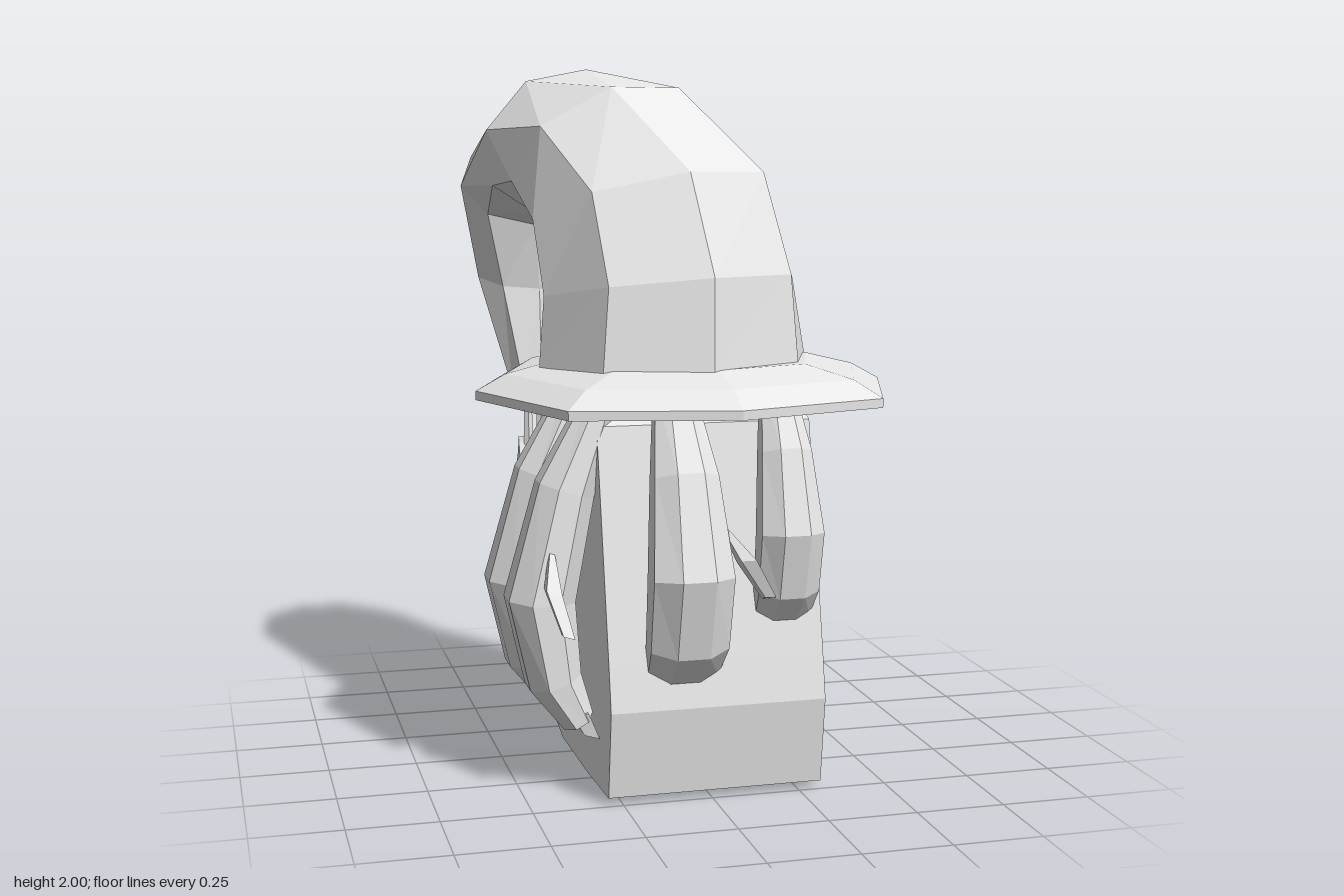
import * as THREE from 'three';

const V = (x, y, z) => new THREE.Vector3(x, y, z);
const stone = new THREE.MeshStandardMaterial({ color: 0xe7e7e7 });
stone.name = 'pale grey';

function add(parent, name, geometry) {
  const g = geometry.index ? geometry.toNonIndexed() : geometry;
  g.computeVertexNormals();
  const mesh = new THREE.Mesh(g, stone);
  mesh.name = name;
  parent.add(mesh);
}

// Skin a list of equal-sized rings and close both ends, facing outwards
function loft(rings) {
  const n = rings[0].length, last = rings.length - 1, tris = [];
  for (let r = 0; r < last; r++) {
    for (let i = 0; i < n; i++) {
      const j = (i + 1) % n;
      const [a, b, c, d] = [rings[r][i], rings[r][j], rings[r + 1][j], rings[r + 1][i]];
      tris.push([a, b, c], [a, c, d]);
    }
  }
  for (let i = 1; i < n - 1; i++) {
    tris.push([rings[0][0], rings[0][i + 1], rings[0][i]]);
    tris.push([rings[last][0], rings[last][i], rings[last][i + 1]]);
  }
  const volume = tris.reduce((s, [a, b, c]) => s + a.dot(b.clone().cross(c)), 0);
  if (volume < 0) tris.forEach(t => t.reverse());
  return new THREE.BufferGeometry().setFromPoints(tris.flat());
}

// Ring with half axes u and v around a centre
function ring(centre, u, v, sides, turn = 0) {
  return Array.from({ length: sides }, (_, i) => {
    const a = turn + i / sides * Math.PI * 2;
    return centre.clone().addScaledVector(u, Math.cos(a)).addScaledVector(v, Math.sin(a));
  });
}

// Tapered spike through points [x, y, z, radius]
function spike(points) {
  return loft(points.map(([x, y, z, r]) => ring(V(x, y, z), V(r, 0, 0), V(0, r * 0.3, r), 4, Math.PI / 4)));
}

// Outline of [z, y] points extruded along x
function extrudeX(points, x0, x1) {
  const shape = new THREE.Shape(points.map(([z, y]) => new THREE.Vector2(-z, y)));
  const g = new THREE.ExtrudeGeometry(shape, { depth: x1 - x0, bevelEnabled: false });
  return g.rotateY(Math.PI / 2).translate(x0, 0, 0);
}

// Drooping arm bulging along local +z, ending in three stubby fingers
function addArm(parent, name, { x, z, angle, top, bottom, bulge, width, depth, thumb }) {
  const arm = new THREE.Group();
  arm.name = name;
  arm.position.set(x, 0, z);
  arm.rotation.y = angle;
  const stations = [
    [0, 0, 0.5, 0.45], [0.28, 0.6, 0.8, 0.85], [0.6, 1, 1, 1], [0.84, 0.8, 0.98, 0.8], [0.96, 0.45, 0.9, 0.5],
  ];
  const centres = stations.map(([t, o]) => V(0, top + (bottom - top) * t, bulge * o));
  const rings = stations.map(([, , w, d], i) => {
    const dir = centres[Math.min(i + 1, 4)].clone().sub(centres[Math.max(i - 1, 0)]).normalize();
    const out = V(0, dir.z, -dir.y).multiplyScalar(depth * d);
    return ring(centres[i], out, V(width * w, 0, 0), 8, Math.PI / 8);
  });
  add(arm, 'sleeve', loft(rings));
  const end = centres[4];
  for (const s of [-1, 0, 1]) {
    add(arm, 'finger', spike([
      [s * width * 0.55, end.y + 0.04, end.z + 0.01, width * 0.36],
      [s * width * 0.52, bottom, end.z - 0.03, width * 0.26],
    ]));
  }
  if (thumb) {
    const y = top + (bottom - top) * 0.48, w = width * thumb;
    add(arm, 'thumb', spike([
      [w * 0.8, y + 0.03, bulge * 0.9, 0.01],
      [w * 1.3, y - 0.06, bulge * 0.95, 0.03],
      [w * 1.9, y - 0.17, bulge * 0.8, 0.022],
    ]));
  }
  parent.add(arm);
}

export function createModel() {
  const model = new THREE.Group();
  model.name = 'hatted figure';

  // Slab body with a kicked-up tail at the back
  add(model, 'body', extrudeX([
    [0.49, 0.02], [0.22, 0.005], [-0.14, 0], [-0.29, 0.04], [-0.38, 0.125], [-0.375, 0.145], [-0.29, 0.14],
    [-0.2, 0.24], [-0.15, 0.33], [-0.05, 1.01], [0.14, 1.1], [0.36, 1.02], [0.5, 0.39], [0.525, 0.265],
  ], -0.29, 0.315));

  // Small hooks on the flat side
  for (const [z, s] of [[0.26, 1], [0, -1]]) {
    add(model, 'sideHook', extrudeX([
      [z + s * 0.045, 0.58], [z + s * 0.035, 0.52], [z, 0.48], [z - s * 0.04, 0.48],
      [z - s * 0.035, 0.51], [z + s * 0.005, 0.54],
    ], 0.29, 0.335));
  }

  // Arms around the body
  const H = Math.PI / 2;
  addArm(model, 'frontArm', { x: -0.08, z: 0.38, angle: 0, top: 1.11, bottom: 0.32, bulge: 0.19, width: 0.12, depth: 0.1, thumb: 1 });
  addArm(model, 'frontLeftArm', { x: 0.21, z: 0.38, angle: 0, top: 1.13, bottom: 0.47, bulge: 0.14, width: 0.095, depth: 0.08, thumb: 0 });
  addArm(model, 'frontRightArm', { x: -0.26, z: 0.3, angle: -H, top: 1.11, bottom: 0.16, bulge: 0.18, width: 0.115, depth: 0.1, thumb: 1 });
  addArm(model, 'rightArm', { x: -0.26, z: 0, angle: -H, top: 1.1, bottom: 0.15, bulge: 0.185, width: 0.12, depth: 0.1, thumb: -1 });
  addArm(model, 'backArm', { x: -0.14, z: -0.09, angle: Math.PI + 0.28, top: 1.1, bottom: 0.28, bulge: 0.24, width: 0.125, depth: 0.1, thumb: -1 });
  addArm(model, 'backLeftArm', { x: 0.21, z: -0.04, angle: Math.PI, top: 1.1, bottom: 0.32, bulge: 0.11, width: 0.1, depth: 0.085, thumb: 0 });

  // Eight-sided drooping brim
  const outline = [
    [0.01, 0.74], [0.44, 0.605], [0.59, 0.16], [0.42, -0.26], [0, -0.37], [-0.42, -0.26], [-0.59, 0.18], [-0.425, 0.64],
  ];
  const brim = [[0.62, 1.185], [0.86, 1.15], [1, 1.105], [1, 1.08], [0.85, 1.125], [0.6, 1.155]];
  add(model, 'hatBrim', loft(brim.map(([s, y]) => outline.map(([x, z]) => V(x * s, y, 0.18 + (z - 0.18) * s)))));

  // Bent hat: outer point, inner point, half width and twist of each ring
  const side = V(0.92, 0, -0.38);
  const hat = [
    [V(0.11, 1.17, 0.51), V(-0.15, 1.17, -0.17), 0.41, 0.48],
    [V(0.11, 1.43, 0.48), V(-0.17, 1.33, -0.16), 0.375, 0.48],
    [V(0.09, 1.71, 0.33), V(-0.21, 1.5, -0.18), 0.35, 0.44],
    [V(-0.07, 1.95, 0.07), V(-0.23, 1.55, -0.26), 0.31, 0.39],
    [V(-0.2, 2.0, -0.34), V(-0.27, 1.565, -0.34), 0.28, 0.16],
    [V(-0.34, 1.77, -0.65), V(-0.3, 1.53, -0.45), 0.225, 0],
    [V(-0.34, 1.4, -0.74), V(-0.28, 1.33, -0.5), 0.165, 0],
    [V(-0.31, 1.02, -0.63), V(-0.28, 1.01, -0.475), 0.075, 0],
  ];
  add(model, 'hat', loft(hat.map(([o, i, w, twist]) => ring(
    o.clone().add(i).multiplyScalar(0.5), o.clone().sub(i).multiplyScalar(0.5),
    side.clone().multiplyScalar(w), 8, twist))));

  // Cord and concave four-pointed star hanging from the tip
  const sx = -0.29, sy = 0.68, sz = -0.56;
  for (const s of [-1, 1]) {
    add(model, 'cord', new THREE.CylinderGeometry(0.013, 0.016, 0.26, 5).translate(sx + s * 0.02, 0.9, sz));
  }
  const star = Array.from({ length: 24 }, (_, i) => {
    const a = i / 24 * Math.PI * 2;
    return [sz + 0.17 * Math.cos(a) ** 3, sy + 0.18 * Math.sin(a) ** 3];
  });
  add(model, 'starCharm', extrudeX(star, sx - 0.05, sx + 0.05));

  return model;
}
